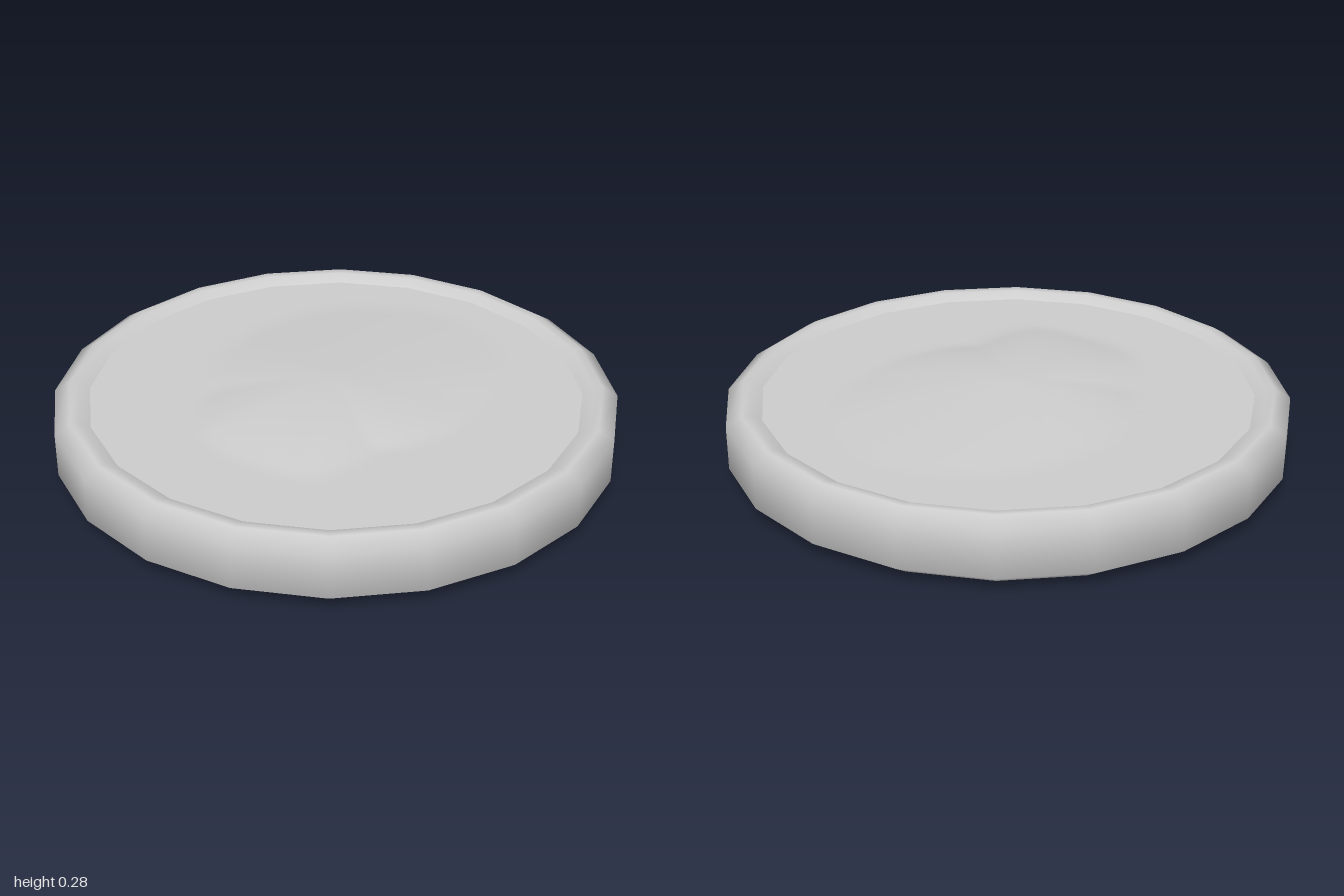
import * as THREE from 'three';
import { mergeVertices } from 'three/addons/utils/BufferGeometryUtils.js';

const SIDES = 20;
const INNER = 0.875;

// Outline of the raised relief as (x, z) corners: broad at the back, narrow at the front
const OUTLINE = [
  [0.04, 0.56], [0.28, 0.52], [0.34, 0.25], [0.48, 0.0], [0.47, -0.25], [0.36, -0.55], [0, -0.72],
  [-0.36, -0.55], [-0.5, -0.25], [-0.5, 0.03], [-0.34, 0.27], [-0.2, 0.52],
].map(([x, z]) => ({ angle: Math.atan2(x, z), r: Math.hypot(x, z) })).sort((a, b) => a.angle - b.angle);

// Distance from the centre to the relief outline at an angle
function outlineRadius(angle) {
  const n = OUTLINE.length;
  for (let i = 0; i < n; i++) {
    const a = OUTLINE[i], b = OUTLINE[(i + 1) % n];
    const span = (b.angle - a.angle + 2 * Math.PI) % (2 * Math.PI);
    const t = ((angle - a.angle + 2 * Math.PI) % (2 * Math.PI)) / span;
    if (t <= 1) return THREE.MathUtils.lerp(a.r, b.r, t);
  }
  return OUTLINE[0].r;
}

function reliefHeight(x, z) {
  const angle = Math.atan2(x, z);
  const t = Math.min(1, Math.hypot(x, z) / outlineRadius(angle));
  // Steeper edge at the front, long gentle slope at the back
  const power = 1.7 + 0.6 * Math.cos(angle);
  return 0.225 + 0.05 * (1 - Math.pow(t, power));
}

// Dished top face: rings of points lifted by the relief rule
function makeReliefGeometry() {
  const rings = 24;
  const profile = [];
  for (let i = 0; i <= rings; i++) profile.push(new THREE.Vector2(INNER * (1 - i / rings), 0));
  let geo = new THREE.LatheGeometry(profile, SIDES * 4);
  const p = geo.attributes.position;
  const step = (2 * Math.PI) / SIDES;
  for (let i = 0; i < p.count; i++) {
    const x = p.getX(i), z = p.getZ(i);
    // Pull the circle onto the straight sides of the rim
    const a = (Math.atan2(x, z) + 2 * Math.PI) % step;
    const k = Math.cos(step / 2) / Math.cos(a - step / 2);
    p.setXYZ(i, x * k, reliefHeight(x * k, z * k), z * k);
  }
  geo.deleteAttribute('uv');
  geo.deleteAttribute('normal');
  geo = mergeVertices(geo, 1e-4);
  geo.computeVertexNormals();
  return geo;
}

export function createModel() {
  const group = new THREE.Group();
  group.name = 'disc';
  const material = new THREE.MeshStandardMaterial({ color: 0xcccccc });
  const add = (name, geometry) => {
    const mesh = new THREE.Mesh(geometry, material);
    mesh.name = name;
    group.add(mesh);
    return mesh;
  };

  // Bevelled rim, from the underside round to the top
  const rimProfile = [
    [INNER, 0.03], [0.92, 0], [1, 0.055], [1, 0.215], [0.945, 0.25], [0.915, 0.248], [INNER, 0.225],
  ].map(([r, y]) => new THREE.Vector2(r, y));
  add('rim', new THREE.LatheGeometry(rimProfile, SIDES));

  // Slightly recessed flat underside
  const base = add('underside', new THREE.CircleGeometry(INNER, SIDES));
  base.rotation.x = Math.PI / 2;
  base.position.y = 0.03;

  add('topRelief', makeReliefGeometry());
  return group;
}
